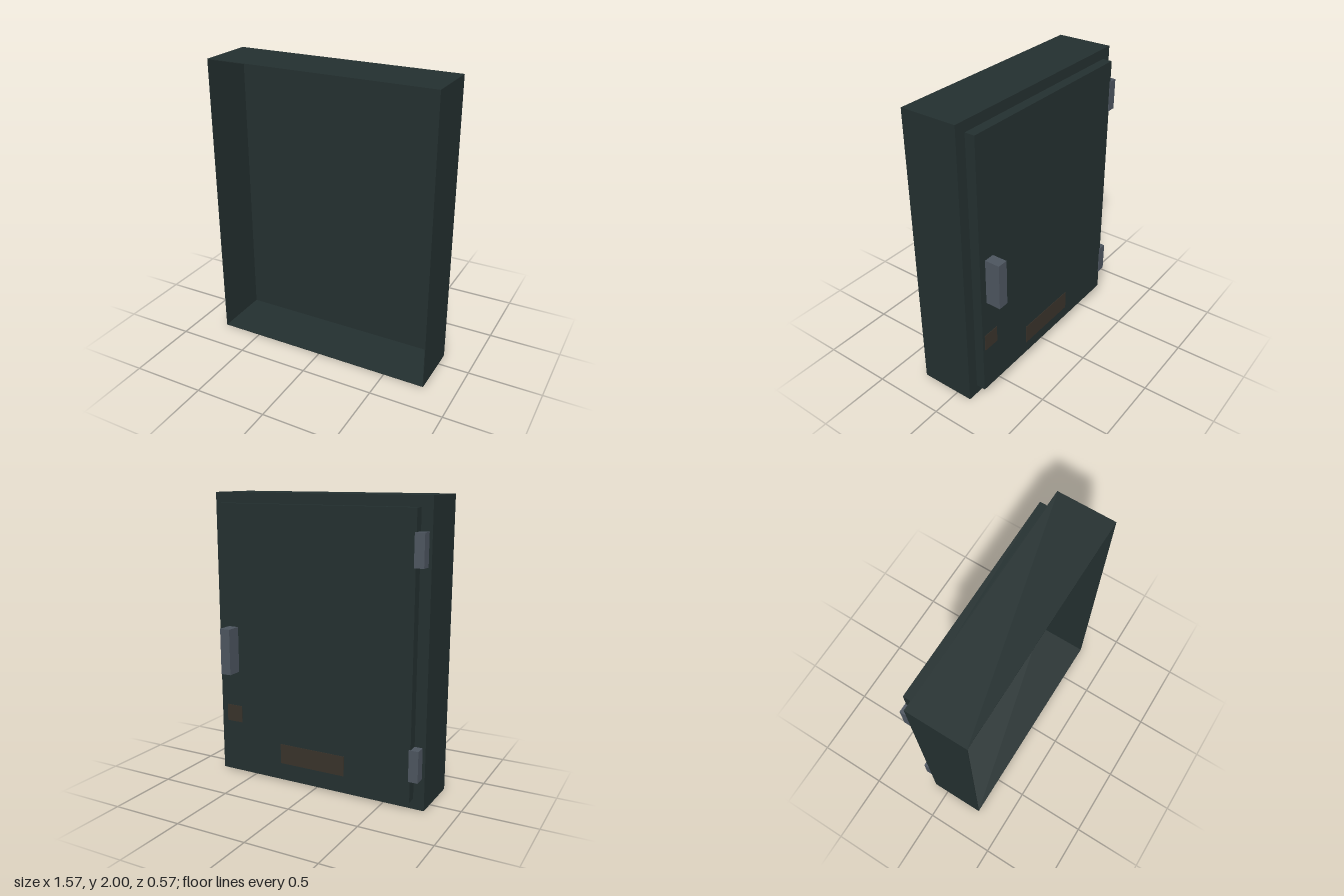
import * as THREE from 'three';

export function createModel() {
  const root = new THREE.Group();
  root.name = 'wallCabinet';

  const material = (name, color) => {
    const m = new THREE.MeshStandardMaterial({ color });
    m.name = name;
    return m;
  };
  const paint = material('dark green paint', 0x232f2f);
  const metal = material('grey metal', 0x4c545e);
  const label = material('brown label', 0x38322a);

  // Box given by its minimum and maximum corners
  const block = (name, mat, [x0, y0, z0], [x1, y1, z1], parent = root) => {
    const mesh = new THREE.Mesh(new THREE.BoxGeometry(x1 - x0, y1 - y0, z1 - z0), mat);
    mesh.position.set((x0 + x1) / 2, (y0 + y1) / 2, (z0 + z1) / 2);
    mesh.name = name;
    parent.add(mesh);
    return mesh;
  };

  // Thin sheet-metal shell, open towards +z
  const W = 0.785, H = 2, BACK = -0.11, FRONT = 0.283, T = 0.004;
  const shell = new THREE.Group();
  shell.name = 'shell';
  root.add(shell);
  block('backPanel', paint, [-W, 0, BACK], [W, H, BACK + T], shell);
  block('floorPanel', paint, [-W, 0, BACK + T], [W, T, FRONT], shell);
  block('topPanel', paint, [-W, H - T, BACK + T], [W, H, FRONT], shell);
  block('leftWall', paint, [W - T, T, BACK + T], [W, H - T, FRONT], shell);
  block('rightWall', paint, [-W, T, BACK + T], [-W + T, H - T, FRONT], shell);

  // Raised door with its hinges and handle
  const DOOR = -0.178;
  block('door', paint, [-0.71, 0.07, DOOR], [0.71, 1.93, BACK]);
  for (const [name, y] of [['lowerHinge', 0.215], ['upperHinge', 1.575]]) {
    block(name, metal, [-0.765, y, -0.184], [-0.70, y + 0.213, BACK]);
  }
  block('handle', metal, [0.585, 0.77, -0.283], [0.66, 1.09, DOOR]);

  // Label plates on the door
  block('largeLabel', label, [-0.24, 0.155, DOOR - 0.003], [0.25, 0.295, DOOR]);
  block('smallLabel', label, [0.568, 0.40, DOOR - 0.003], [0.69, 0.52, DOOR]);

  return root;
}
